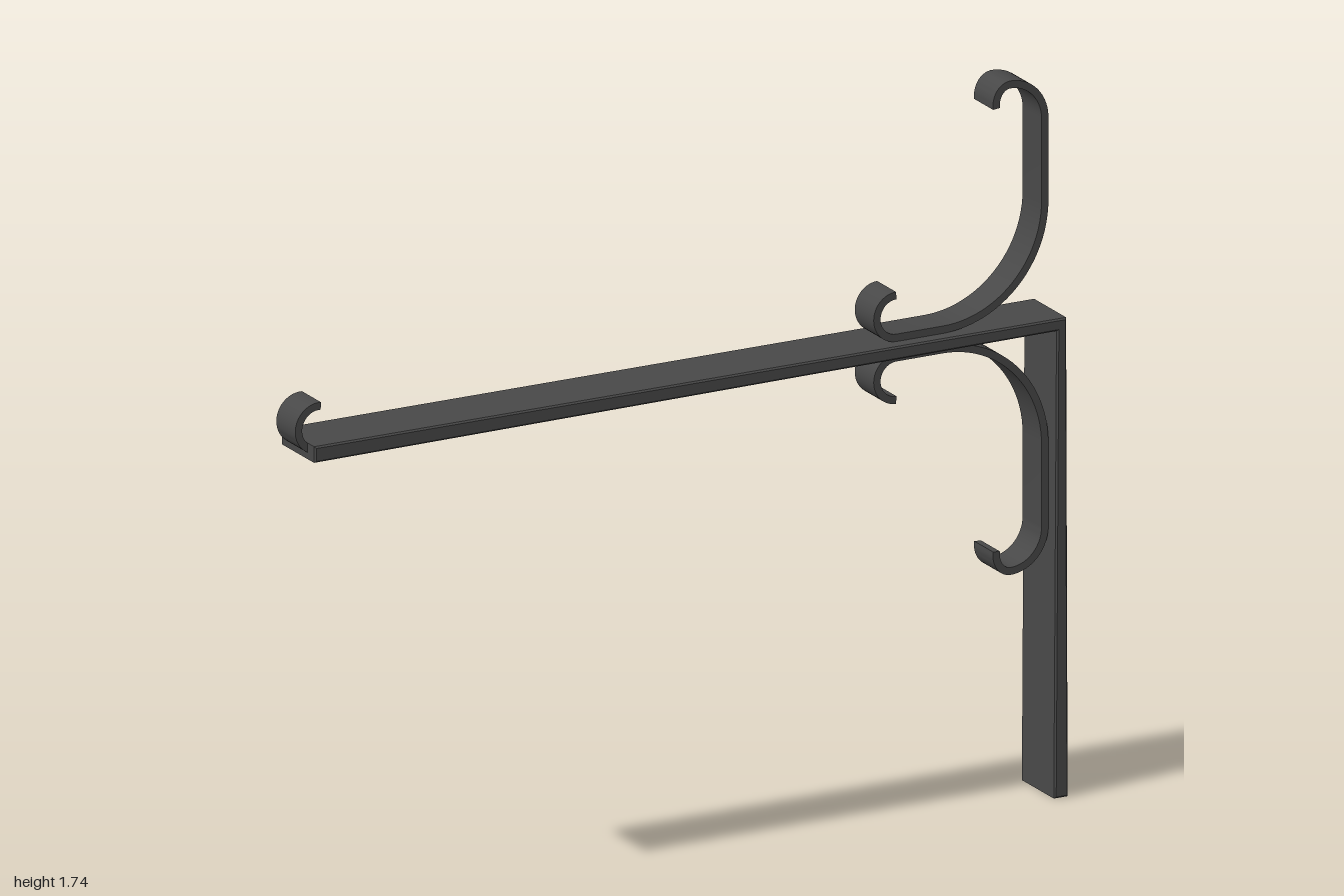
import * as THREE from 'three';
import { toCreasedNormals } from 'three/addons/utils/BufferGeometryUtils.js';

const iron = new THREE.MeshStandardMaterial({ color: 0x484848 });
iron.name = 'dark iron';

const v = (x, y) => new THREE.Vector2(x, y);

// Points along an elliptical arc, angles in degrees
function arc(cx, cy, rx, ry, from, to, steps) {
  const pts = [];
  for (let i = 0; i <= steps; i++) {
    const a = THREE.MathUtils.degToRad(from + ((to - from) * i) / steps);
    pts.push(v(cx + rx * Math.cos(a), cy + ry * Math.sin(a)));
  }
  return pts;
}

// Flat strip of metal bent along a path in the xy plane
function strip(name, path, thickness, width) {
  const left = [], right = [];
  path.forEach((p, i) => {
    const a = path[Math.max(i - 1, 0)], b = path[Math.min(i + 1, path.length - 1)];
    const t = b.clone().sub(a).normalize();
    const n = v(-t.y, t.x).multiplyScalar(thickness / 2);
    left.push(p.clone().add(n));
    right.push(p.clone().sub(n));
  });
  return extrude(name, [...left, ...right.reverse()], width, 0);
}

function extrude(name, outline, width, bevel) {
  const geo = new THREE.ExtrudeGeometry(new THREE.Shape(outline), {
    depth: width - 2 * bevel, steps: 1, bevelEnabled: bevel > 0,
    bevelSize: bevel, bevelThickness: bevel, bevelOffset: -bevel, bevelSegments: 1,
  });
  geo.translate(0, 0, bevel - width / 2);
  const mesh = new THREE.Mesh(toCreasedNormals(geo, 0.5), iron);
  mesh.name = name;
  return mesh;
}

export function createModel() {
  const group = new THREE.Group();
  group.name = 'shelfBracket';

  // Angle iron: long arm and post, slightly thicker towards the free ends
  group.add(extrude('angleBar', [
    v(-0.968, 1.121), v(0.969, 1.127), v(0.962, 0), v(0.998, 0), v(0.994, 1.156), v(-0.968, 1.16),
  ], 0.16, 0.004));

  // Scroll: small curl, straight foot, wide bend, straight stem, top hook
  const scroll = [
    ...arc(0.568, 1.217, 0.05, 0.051, 90, 270, 20),
    ...arc(0.69, 1.436, 0.266, 0.27, -90, 0, 24),
    ...arc(0.866, 1.635, 0.09, 0.094, 0, 90, 14),
    ...arc(0.866, 1.684, 0.037, 0.045, 95, 190, 12),
  ];
  const mirrorY = 1.142;
  group.add(strip('upperScroll', scroll, 0.018, 0.09));
  group.add(strip('lowerScroll', scroll.map((p) => v(p.x, 2 * mirrorY - p.y)).reverse(), 0.018, 0.09));

  // Curl at the free end of the arm
  group.add(strip('endCurl', [
    ...arc(-0.938, 1.191, 0.053, 0.053, 85, 250, 20),
  ], 0.018, 0.09));

  return group;
}
